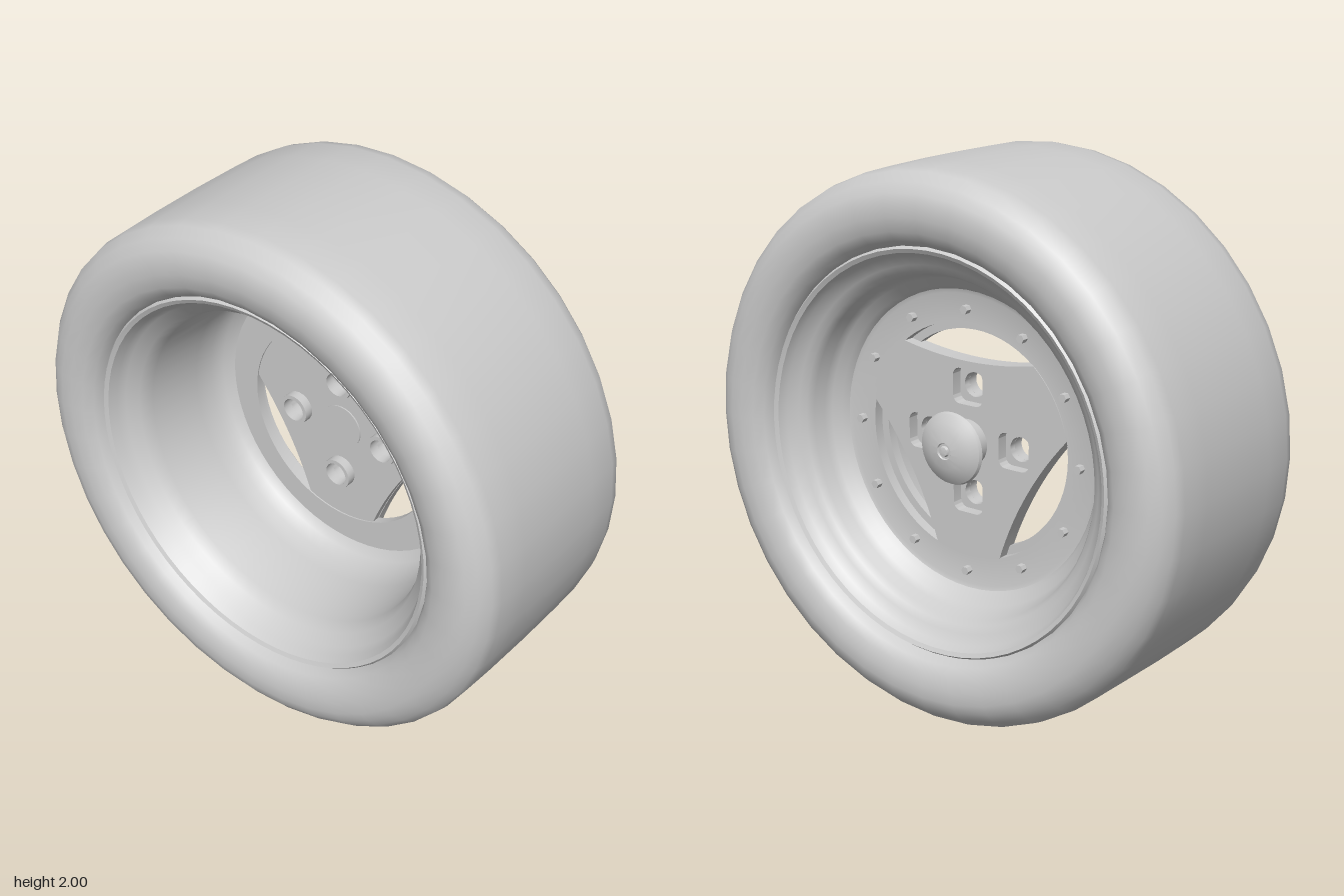
import * as THREE from 'three';
import { toCreasedNormals } from 'three/addons/utils/BufferGeometryUtils.js';

const material = new THREE.MeshStandardMaterial({ color: 0xcccccc, side: THREE.DoubleSide });
const rad = THREE.MathUtils.degToRad;

function addMesh(parent, name, geometry, crease = 0.5) {
  const mesh = new THREE.Mesh(toCreasedNormals(geometry, crease), material);
  mesh.name = name;
  parent.add(mesh);
  return mesh;
}

// Profile of [radius, x] pairs spun about the axle (x axis)
function spin(profile, segments) {
  const points = profile.map(([r, x]) => new THREE.Vector2(r, x));
  return new THREE.LatheGeometry(points, segments).rotateZ(-Math.PI / 2);
}

// Flat shape, drawn as seen from +x, extruded between two x positions
function plate(shape, x0, x1) {
  return new THREE.ExtrudeGeometry(shape, { depth: x1 - x0, bevelEnabled: false, curveSegments: 14 })
    .rotateY(Math.PI / 2).translate(x0, 0, 0);
}

// Three broad spokes with lens-shaped windows between them
function spokeShape(radius) {
  const shape = new THREE.Shape();
  for (let i = 0; i < 3; i++) {
    const mid = 30 + i * 120;
    const a0 = rad(mid - 19), a1 = rad(mid + 19), next = rad(mid + 101);
    if (i === 0) shape.moveTo(radius * Math.cos(a0), radius * Math.sin(a0));
    shape.absarc(0, 0, radius, a0, a1, false);
    const w = rad(mid + 60);
    shape.quadraticCurveTo(0.265 * Math.cos(w), 0.265 * Math.sin(w), radius * Math.cos(next), radius * Math.sin(next));
  }
  return shape;
}

function roundedSquare(cx, cy, h, r) {
  const p = new THREE.Path();
  p.absarc(cx + h - r, cy + h - r, r, 0, Math.PI / 2, false);
  p.absarc(cx - h + r, cy + h - r, r, Math.PI / 2, Math.PI, false);
  p.absarc(cx - h + r, cy - h + r, r, Math.PI, Math.PI * 1.5, false);
  p.absarc(cx + h - r, cy - h + r, r, Math.PI * 1.5, Math.PI * 2, false);
  p.closePath();
  return p;
}

export function createModel() {
  const root = new THREE.Group();
  root.name = 'wheel';
  const wheel = new THREE.Group();
  wheel.name = 'wheelAssembly';
  wheel.position.y = 1;
  root.add(wheel);

  // Tyre: half profile mirrored across the centre plane
  const half = [
    [1, 0], [0.998, 0.2], [0.994, 0.33], [0.985, 0.37], [0.955, 0.405], [0.92, 0.43],
    [0.885, 0.441], [0.84, 0.441], [0.79, 0.432], [0.755, 0.41], [0.735, 0.38], [0.725, 0.34],
  ];
  const tyre = [...half.slice(1).reverse().map(([r, x]) => [r, -x]), ...half];
  addMesh(wheel, 'tyre', spin(tyre, 40), 0.9);

  // Rim: front bowl, mounting flange and deep rear barrel as one closed section
  const rim = [
    [0.725, -0.34], [0.69, -0.3], [0.66, 0], [0.69, 0.3], [0.725, 0.34],
    [0.735, 0.375], [0.725, 0.388], [0.71, 0.38], [0.695, 0.35], [0.66, 0.325], [0.635, 0.31],
    [0.62, 0.285], [0.61, 0.24], [0.595, 0.215], [0.565, 0.195], [0.55, 0.17],
    [0.535, 0.165], [0.43, 0.165], [0.43, 0.125], [0.54, 0.125], [0.575, 0.1],
    [0.595, 0.05], [0.605, -0.02], [0.62, -0.24], [0.64, -0.29], [0.68, -0.32],
    [0.695, -0.35], [0.71, -0.38], [0.725, -0.388], [0.735, -0.375], [0.725, -0.34],
  ];
  addMesh(wheel, 'rim', spin(rim, 64), 0.6);

  // Narrower ring behind the flange, seen through the windows
  addMesh(wheel, 'backingRing', spin(
    [[0.4, 0.09], [0.47, 0.09], [0.47, 0.126], [0.4, 0.126], [0.4, 0.09]], 64));

  // Spoke plate: square pockets in front, round stud holes behind
  const front = spokeShape(0.43), back = spokeShape(0.425);
  const studs = [0, 1, 2, 3].map((i) => [0.2 * Math.cos(i * Math.PI / 2), 0.2 * Math.sin(i * Math.PI / 2)]);
  for (const [u, v] of studs) {
    front.holes.push(roundedSquare(u, v, 0.065, 0.03));
    const hole = new THREE.Path();
    hole.absarc(u, v, 0.045, 0, Math.PI * 2, true);
    back.holes.push(hole);
  }
  addMesh(wheel, 'spokePlateFront', plate(front, 0.125, 0.168));
  addMesh(wheel, 'spokePlateBack', plate(back, 0.095, 0.125));

  // Tubular bosses behind the stud holes
  for (const [u, v] of studs) {
    const boss = spin([[0.045, 0.06], [0.06, 0.06], [0.06, 0.1], [0.045, 0.1], [0.045, 0.06]], 20);
    addMesh(wheel, 'studBoss', boss).position.set(0, v, -u);
  }

  // Domed centre cap on a narrower neck
  addMesh(wheel, 'centreCap', spin([
    [0, 0.09], [0.085, 0.09], [0.085, 0.245], [0.125, 0.248], [0.132, 0.256], [0.127, 0.268],
    [0.1, 0.285], [0.065, 0.298], [0.03, 0.304], [0.027, 0.299], [0.02, 0.299],
    [0.016, 0.308], [0, 0.311],
  ], 36), 0.6);

  // Ring of twelve hexagonal bolts on the flange
  for (let i = 0; i < 12; i++) {
    const a = i * Math.PI / 6;
    const bolt = new THREE.CylinderGeometry(0.016, 0.016, 0.03, 6).rotateZ(-Math.PI / 2);
    addMesh(wheel, 'flangeBolt', bolt).position.set(0.175, 0.482 * Math.cos(a), 0.482 * Math.sin(a));
  }
  return root;
}
